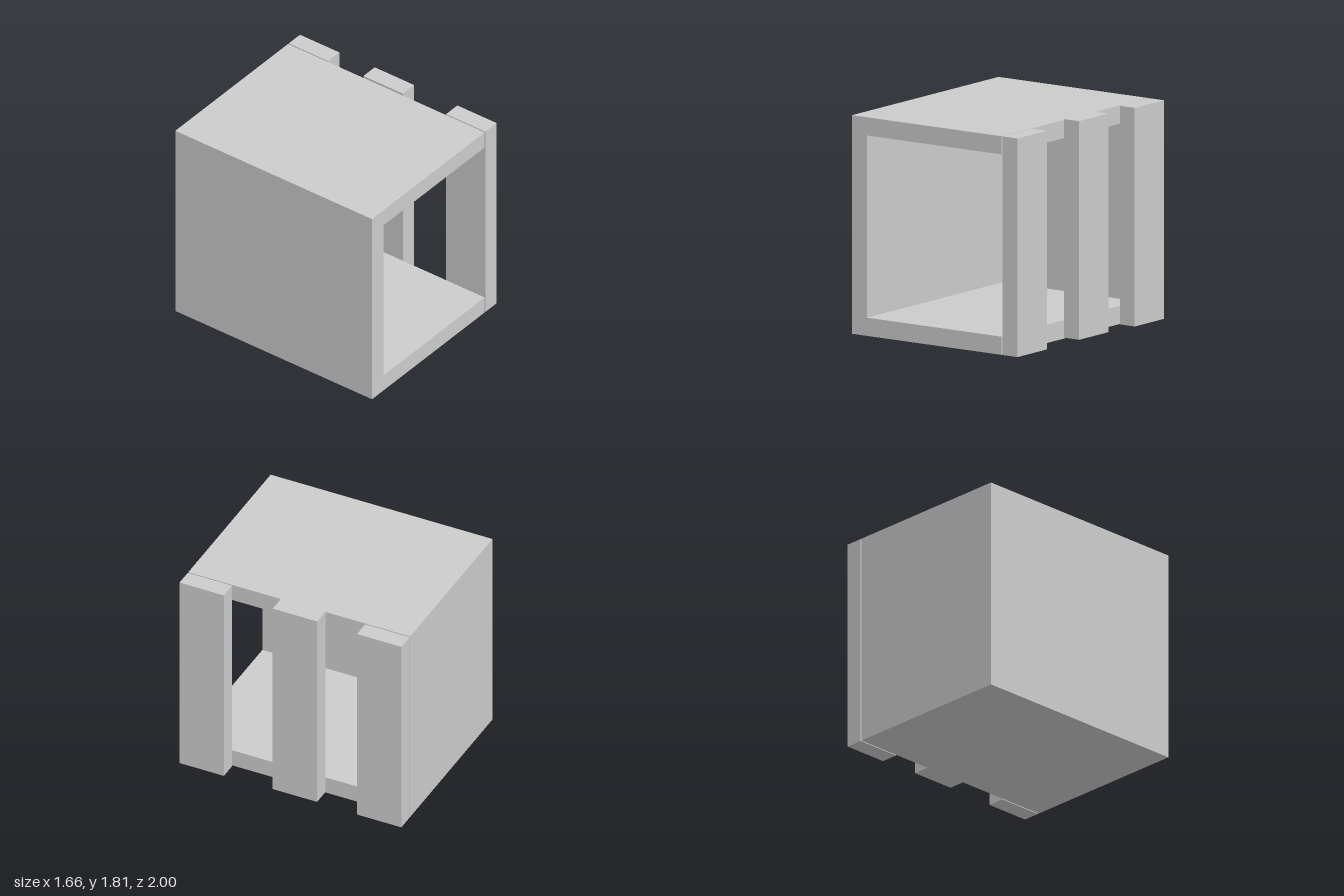
import * as THREE from 'three';

const material = new THREE.MeshStandardMaterial({ color: 0xcccccc, flatShading: true });

// Box given by its minimum and maximum corners
function box(name, [x0, y0, z0], [x1, y1, z1]) {
  const geometry = new THREE.BoxGeometry(x1 - x0, y1 - y0, z1 - z0);
  geometry.translate((x0 + x1) / 2, (y0 + y1) / 2, (z0 + z1) / 2);
  const mesh = new THREE.Mesh(geometry, material);
  mesh.name = name;
  return mesh;
}

export function createModel() {
  const group = new THREE.Group();
  group.name = 'slattedCrate';

  const left = -0.83, right = 0.67, height = 1.8, wall = 0.15;

  // Floor, side wall and roof as one C-shaped section, open at the front
  const section = new THREE.Shape([
    [left, 0], [right, 0], [right, wall], [left + wall, wall],
    [left + wall, height - wall], [right, height - wall], [right, height], [left, height],
  ].map(([x, y]) => new THREE.Vector2(x, y)));
  const shellGeometry = new THREE.ExtrudeGeometry(section, { depth: 2 - wall, bevelEnabled: false });
  shellGeometry.translate(0, 0, -1 + wall);
  const shell = new THREE.Mesh(shellGeometry, material);
  shell.name = 'floorSideAndRoof';
  group.add(shell);

  // Closed back
  group.add(box('backPanel', [left, 0, -1], [right, height, -1 + wall]));

  // Three upright slats with a narrow gap to the shell; the middle one sits slightly higher
  const slats = [['frontSlat', 0.6, 0], ['middleSlat', -0.24, 0.01], ['backSlat', -1, 0]];
  for (const [name, z, y] of slats) {
    group.add(box(name, [0.68, y, z], [0.83, y + height, z + 0.4]));
  }

  return group;
}
